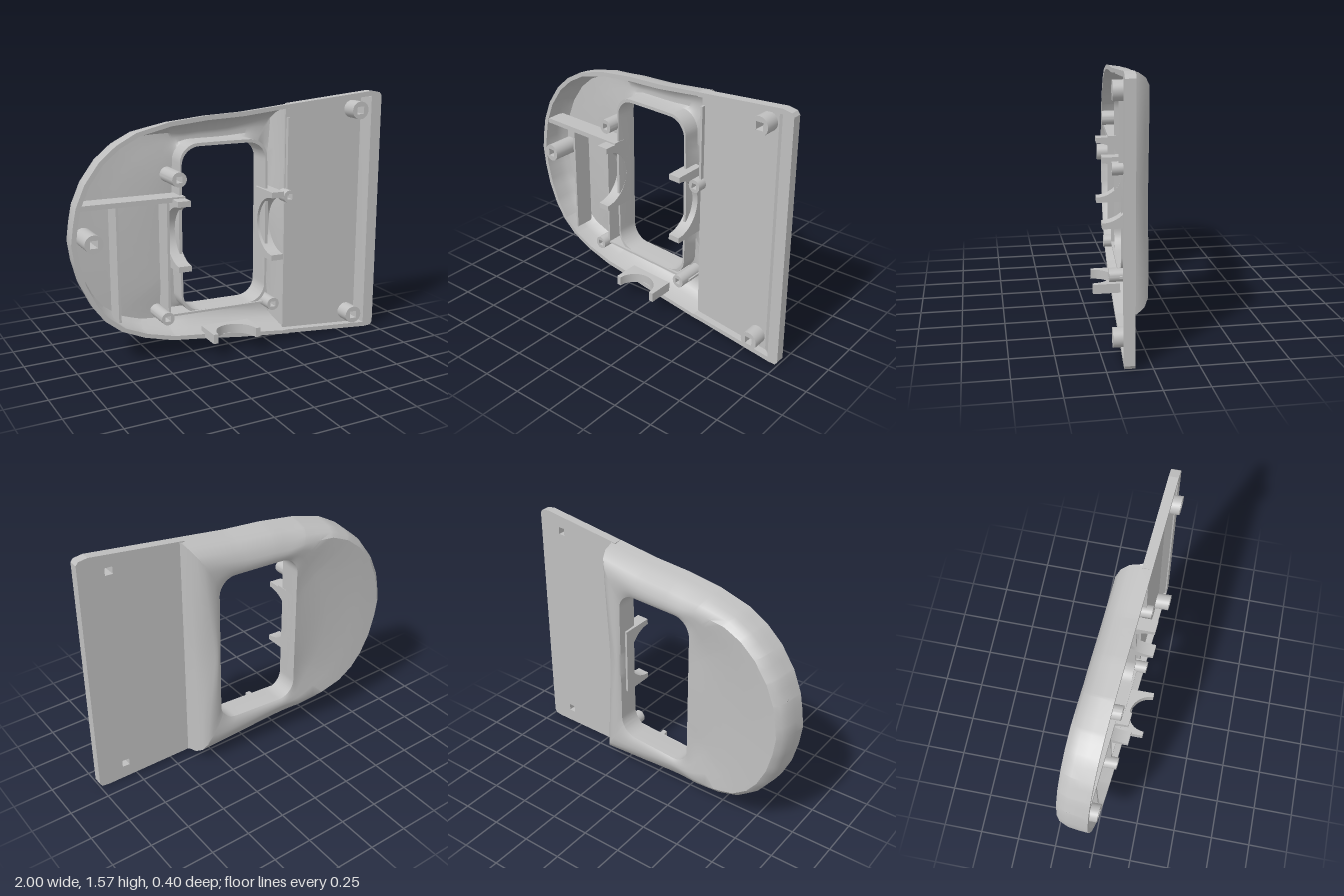
import * as THREE from 'three';
import { toCreasedNormals } from 'three/addons/utils/BufferGeometryUtils.js';

const V = (x, y) => new THREE.Vector2(x, y);

// Parts are built upright, then sheared so the front edge leans toward +z at +x.
const LEAN = new THREE.Matrix4().set(
  1, 0, 0, 0,
  0, 1, 0, 0,
  0.08, 0, 1, 0.075,
  0, 0, 0, 1);

const CENTRE = V(-0.045, 0.785);

// Outline of the rounded body
const BODY = [
  [0.39, 0.04], [0.39, 1.52], [0.07, 1.49], [-0.17, 1.48], [-0.4, 1.455], [-0.6, 1.405],
  [-0.72, 1.34], [-0.82, 1.255], [-0.91, 1.13], [-0.965, 1.0], [-0.985, 0.9], [-1, 0.79],
  [-0.985, 0.67], [-0.95, 0.53], [-0.89, 0.4], [-0.82, 0.305], [-0.72, 0.225],
  [-0.58, 0.165], [-0.4, 0.12], [-0.2, 0.1], [0.05, 0.07],
].map(([x, y]) => V(x, y));

function roundedRect(x0, x1, y0, y1, r) {
  const s = new THREE.Shape();
  s.absarc(x1 - r, y1 - r, r, 0, Math.PI / 2);
  s.absarc(x0 + r, y1 - r, r, Math.PI / 2, Math.PI);
  s.absarc(x0 + r, y0 + r, r, Math.PI, Math.PI * 1.5);
  s.absarc(x1 - r, y0 + r, r, Math.PI * 1.5, Math.PI * 2);
  return s.getPoints(8);
}

// Where a ray from the centre meets a polygon
function hit(poly, dir) {
  let best = 0;
  poly.forEach((a, i) => {
    const e = poly[(i + 1) % poly.length].clone().sub(a);
    const w = a.clone().sub(CENTRE);
    const den = dir.cross(e);
    if (Math.abs(den) < 1e-9) return;
    const t = w.cross(e) / den, u = w.cross(dir) / den;
    if (t > 0 && u >= -1e-6 && u <= 1 + 1e-6) best = Math.max(best, t);
  });
  return best;
}

// Ring with a thin wall: outer side, rounded shoulder, dished back, window wall, inner skin
function shellGeometry() {
  const hole = roundedRect(-0.31, 0.225, 0.28, 1.29, 0.11);
  const corners = [...BODY, ...hole].map((p) => Math.atan2(p.y - CENTRE.y, p.x - CENTRE.x));
  const even = Array.from({ length: 80 }, (_, i) => -Math.PI + (i / 80) * Math.PI * 2);
  const angles = [...corners, ...even].sort((a, b) => a - b)
    .filter((a, i, all) => i === 0 || a - all[i - 1] > 0.004);
  const shoulder = [[0, 0], [0.01, -0.07], [0.027, -0.13], [0.065, -0.176], [0.12, -0.2]];
  const pos = [], idx = [];
  let rows = 0;
  for (const a of angles) {
    const dir = V(Math.cos(a), Math.sin(a));
    const ro = hit(BODY, dir), rh = hit(hole, dir);
    const left = THREE.MathUtils.smoothstep(-dir.x, 0.3, 0.8);
    const right = CENTRE.x + dir.x * ro > 0.385;
    const clamp = (z) => (right ? Math.min(z, -0.055) : z);
    const k = 1 - 0.5 * left;
    const ring = shoulder.map(([d, z]) => [ro - d * k, clamp(z)]);
    const inner = ring[4][0];
    const back = [[0.3, -0.205, 0.012], [0.6, -0.203, 0.03], [0.85, -0.197, 0.02], [1, -0.188, 0]]
      .map(([f, z, dip]) => [inner + (rh - inner) * f, z + dip * left]);
    ring.push(...back, [rh, -0.11], [rh + 0.005, -0.045], [rh + 0.025, -0.045], [rh + 0.025, -0.16]);
    for (const [r, z] of [back[1], back[0], ring[4]]) ring.push([Math.max(r, rh + 0.03), z + 0.025]);
    for (const [d, z] of [[0.08, -0.145], [0.045, -0.1], [0.028, 0], [0, 0]])
      ring.push([ro - d * (d > 0.03 ? k : 1), clamp(z)]);
    rows = ring.length;
    ring.forEach(([r, z]) => pos.push(CENTRE.x + dir.x * r, CENTRE.y + dir.y * r, z));
  }
  const n = angles.length;
  for (let i = 0; i < n; i++) {
    for (let j = 0; j < rows - 1; j++) {
      const p = i * rows + j, q = ((i + 1) % n) * rows + j;
      idx.push(p, p + 1, q, q, p + 1, q + 1);
    }
  }
  const g = new THREE.BufferGeometry();
  g.setAttribute('position', new THREE.Float32BufferAttribute(pos, 3));
  g.setIndex(idx);
  return toCreasedNormals(g, 0.7);
}

const extrude = (shape, z0, z1) =>
  new THREE.ExtrudeGeometry(shape, { depth: z1 - z0, bevelEnabled: false, curveSegments: 16 }).translate(0, 0, z0);

const squarePath = (x, y, h) =>
  new THREE.Path([V(x - h, y - h), V(x - h, y + h), V(x + h, y + h), V(x + h, y - h)]);

// Tube with a square bore
function post(x, y, r, z0, z1) {
  const s = new THREE.Shape().absarc(x, y, r, 0, Math.PI * 2);
  s.holes.push(squarePath(x, y, r * 0.42));
  return toCreasedNormals(extrude(s, z0, z1), 0.6);
}

// U-shaped cradle drawn across its opening
function cradle(half, r, top, base, thick) {
  const s = new THREE.Shape();
  s.moveTo(-half, top);
  s.lineTo(-half, base);
  s.lineTo(half, base);
  s.lineTo(half, top);
  s.lineTo(r, top);
  s.absarc(0, top, r, 0, -Math.PI, true);
  s.closePath();
  return toCreasedNormals(extrude(s, -thick / 2, thick / 2), 0.6);
}

export function createModel() {
  const group = new THREE.Group();
  const grey = new THREE.MeshStandardMaterial({ color: 0xbfbfbf, side: THREE.DoubleSide });
  grey.name = 'plain grey';
  const add = (name, geo) => {
    const m = new THREE.Mesh(geo.applyMatrix4(LEAN), grey);
    m.name = name;
    group.add(m);
  };
  const box = (name, x0, x1, y0, y1, z0, z1) => add(name,
    new THREE.BoxGeometry(x1 - x0, y1 - y0, z1 - z0).translate((x0 + x1) / 2, (y0 + y1) / 2, (z0 + z1) / 2));

  add('bodyShell', shellGeometry());

  // Flat side panel with screw openings
  const panelOutline = [V(0.36, 0.045), V(0.94, 0.005), V(0.985, 0.008), V(1, 0.03),
    V(1, 1.54), V(0.985, 1.56), V(0.93, 1.57), V(0.36, 1.517)];
  const panel = new THREE.Shape(panelOutline);
  for (const y of [0.12, 1.46]) panel.holes.push(squarePath(0.82, y, 0.023));
  add('sidePanel', extrude(panel, -0.058, -0.045));

  // Raised rim along the three free edges of the panel
  add('panelRim', extrude(new THREE.Shape([...panelOutline,
    V(0.36, 1.49), V(0.93, 1.54), V(0.93, 0.035), V(0.36, 0.07)]), -0.05, 0));
  const upright = new THREE.Matrix4().makeBasis(
    new THREE.Vector3(1, 0, 0), new THREE.Vector3(0, 0, 1), new THREE.Vector3(0, -1, 0));
  const slope = new THREE.Shape([V(0.88, -0.047), V(0.935, -0.047), V(0.935, -0.005)]);
  add('panelRimSlope', extrude(slope, 0, 1.49).applyMatrix4(upright).translate(0, 1.535, 0));

  // Screw posts
  for (const p of [
    [0.82, 1.46, 0.055, -0.05, 0.05], [0.82, 0.12, 0.055, -0.05, 0.05],
    [-0.88, 0.79, 0.055, -0.15, 0.035], [-0.36, 1.12, 0.045, -0.16, 0.03],
    [-0.44, 0.27, 0.04, -0.16, 0.02], [0.25, 0.27, 0.04, -0.16, 0.03],
    [0.36, 0.95, 0.04, -0.055, 0.02],
  ]) add('screwPost', post(...p));

  // Stiffening ribs inside the shell
  box('crossRib', -0.95, -0.31, 0.98, 1.01, -0.13, -0.005);
  box('outerRib', -0.725, -0.71, 0.27, 0.98, -0.16, -0.03);
  box('innerRib', -0.415, -0.4, 0.27, 0.98, -0.16, -0.03);
  box('lowerRib', -0.44, 0.3, 0.262, 0.275, -0.16, -0.03);
  box('panelRib', 0.365, 0.38, 0.95, 1.43, -0.055, -0.02);

  // Cradles on each side of the window
  const sideways = new THREE.Matrix4().makeBasis(
    new THREE.Vector3(0, 1, 0), new THREE.Vector3(0, 0, 1), new THREE.Vector3(1, 0, 0));
  for (const x of [-0.35, 0.25])
    add('sideCradle', cradle(0.215, 0.18, 0.072, -0.14, 0.08).applyMatrix4(sideways).translate(x, 0.785, 0));

  // Cradle below the window
  add('lowerCradle', cradle(0.155, 0.125, 0.12, -0.05, 0.06).applyMatrix4(upright).translate(-0.04, 0.135, 0));

  return group;
}
